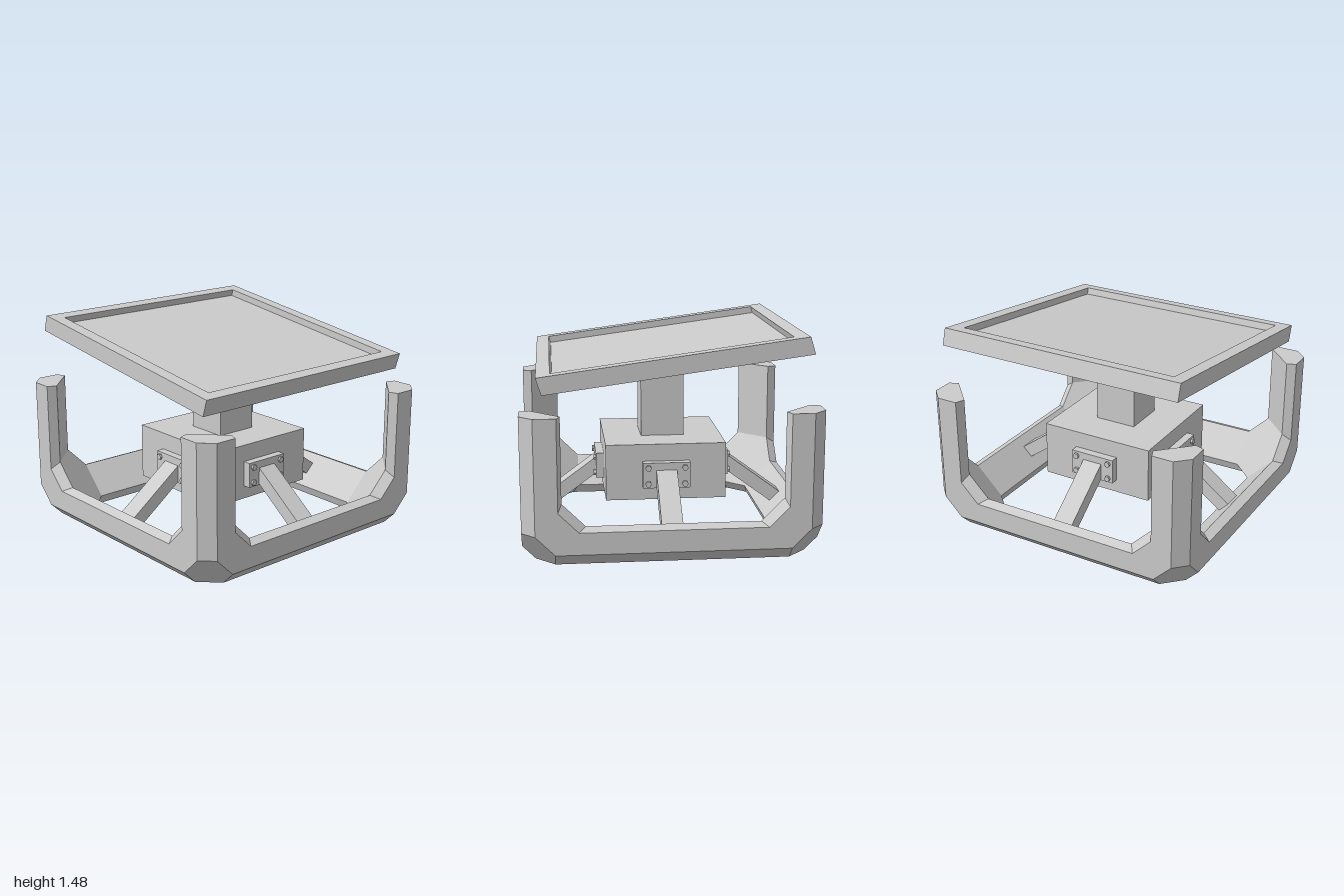
import * as THREE from 'three';

const mat = new THREE.MeshStandardMaterial({ color: 0xcccccc, flatShading: true });

function add(parent, name, geo, x = 0, y = 0, z = 0) {
  const m = new THREE.Mesh(geo, mat);
  m.name = name;
  m.position.set(x, y, z);
  parent.add(m);
  return m;
}

// One cage corner with three half-length bars; coordinates are distances
// inward from the three outer faces meeting at the corner.
function cageCorner(sx, sz) {
  const pos = [];
  const world = p => new THREE.Vector3(sx * (1 - p[0]), p[1], sz * (1 - p[2]));

  // Convex polygon, wound to face away from an interior point
  function face(points, inside) {
    const v = points.map(world);
    const mid = v.reduce((s, p) => s.add(p), new THREE.Vector3()).divideScalar(v.length);
    const n = v[1].clone().sub(v[0]).cross(v[2].clone().sub(v[0]));
    if (n.dot(mid.sub(world(inside))) < 0) v.reverse();
    for (let i = 1; i < v.length - 1; i++) {
      for (const p of [v[0], v[i], v[i + 1]]) pos.push(p.x, p.y, p.z);
    }
  }

  // Bar section: p, q, and where each edge meets the corner piece
  const section = [
    [0.09, 0, 0.22], [0.24, 0, 0.375], [0.265, 0.065, 0.42],
    [0.065, 0.265, 0.42], [0, 0.24, 0.375], [0, 0.09, 0.22],
  ];
  const place = (axis, t, p, q) => {
    const r = [0, 0, 0];
    r[axis] = t;
    r[(axis + 1) % 3] = p;
    r[(axis + 2) % 3] = q;
    return r;
  };
  const centre = [0.2, 0.2, 0.2];

  for (let axis = 0; axis < 3; axis++) {
    // Bar sides
    section.forEach(([p, q, t], i) => {
      const [p2, q2, t2] = section[(i + 1) % 6];
      face([place(axis, t, p, q), place(axis, 1, p, q),
        place(axis, 1, p2, q2), place(axis, t2, p2, q2)], place(axis, 0.6, 0.12, 0.12));
    });
    // Flat outer patch and the inner chamfer joining two bars
    const patch = (a, b, depthA, depthB) => face([
      place(axis, depthA, a[0], a[1]), place(axis, depthB, b[0], b[1]),
      place(axis, depthB, b[1], b[0]), place(axis, depthA, a[1], a[0])], centre);
    patch([0.09, 0.22], [0.24, 0.375], 0, 0);
    patch([0.24, 0.375], [0.265, 0.42], 0, 0.065);
  }
  // Hexagonal cut on the outside and hexagonal gusset on the inside
  const hexagon = (a, b, c) => face([[a, b, c], [b, a, c], [b, c, a], [a, c, b], [c, a, b], [c, b, a]], centre);
  hexagon(0.09, 0.22, 0);
  hexagon(0.265, 0.42, 0.065);
  // Post top
  face(section.map(([p, q]) => place(1, 1, p, q)), centre);

  const g = new THREE.BufferGeometry();
  g.setAttribute('position', new THREE.Float32BufferAttribute(pos, 3));
  g.computeVertexNormals();
  return g;
}

// Bolted plate with a slanting strut, built for the front side
function mount() {
  const g = new THREE.Group();
  g.name = 'strutMount';
  add(g, 'mountPlate', new THREE.BoxGeometry(0.33, 0.18, 0.06), 0, 0.465, 0.447);
  for (const x of [-0.128, 0.128]) {
    for (const y of [0.406, 0.52]) {
      const bolt = add(g, 'bolt', new THREE.CylinderGeometry(0.022, 0.022, 0.03, 6), x, y, 0.478);
      bolt.rotation.set(Math.PI / 2, Math.PI / 6, 0);
    }
  }
  const side = new THREE.Shape();
  side.moveTo(0.46, 0.515).lineTo(0.46, 0.395).lineTo(0.88, 0.085).lineTo(0.88, 0.205).closePath();
  const strut = new THREE.ExtrudeGeometry(side, { depth: 0.145, bevelEnabled: false });
  strut.translate(0, 0, -0.0725).rotateY(-Math.PI / 2);
  add(g, 'strut', strut);
  return g;
}

// Tilted tray with a raised rim and slanting ends
function tray() {
  const g = new THREE.Group();
  g.name = 'tray';
  const w = 0.895, inner = 0.803, base = 0.07, rimHeight = 0.049;
  const shear = new THREE.Matrix4().makeShear(0, 0, 0.165, 0, 0, 0);
  shear.set(1, 0.165, 0, 0, 0, 1, 0, 0, 0, 0, 1, 0, 0, 0, 0, 1);

  const square = (P, s) => new P().moveTo(-s, -s).lineTo(s, -s).lineTo(s, s).lineTo(-s, s).closePath();
  const outline = square(THREE.Shape, w);
  outline.holes.push(square(THREE.Path, inner));
  const rim = new THREE.ExtrudeGeometry(outline, { depth: rimHeight, bevelEnabled: false });
  rim.rotateX(-Math.PI / 2).translate(0, base, 0).applyMatrix4(shear);
  const slab = new THREE.BoxGeometry(2 * w, base, 2 * w).translate(0, base / 2, 0).applyMatrix4(shear);
  add(g, 'trayRim', rim);
  add(g, 'trayBase', slab);
  g.position.set(-0.0375, 1.2475, 0);
  g.rotation.z = -0.133;
  return g;
}

export function createModel() {
  const model = new THREE.Group();
  model.name = 'trayStand';

  // Open cage
  const cage = new THREE.Group();
  cage.name = 'cage';
  for (const sx of [-1, 1]) {
    for (const sz of [-1, 1]) add(cage, 'cageCorner', cageCorner(sx, sz));
  }
  model.add(cage);

  // Central body and column
  add(model, 'body', new THREE.BoxGeometry(0.84, 0.395, 0.84), 0, 0.4775, 0);
  add(model, 'column', new THREE.BoxGeometry(0.305, 0.61, 0.305), 0, 0.965, 0);

  // Struts on all four sides
  for (let i = 0; i < 4; i++) {
    const m = mount();
    m.rotation.y = i * Math.PI / 2;
    model.add(m);
  }

  model.add(tray());
  return model;
}
